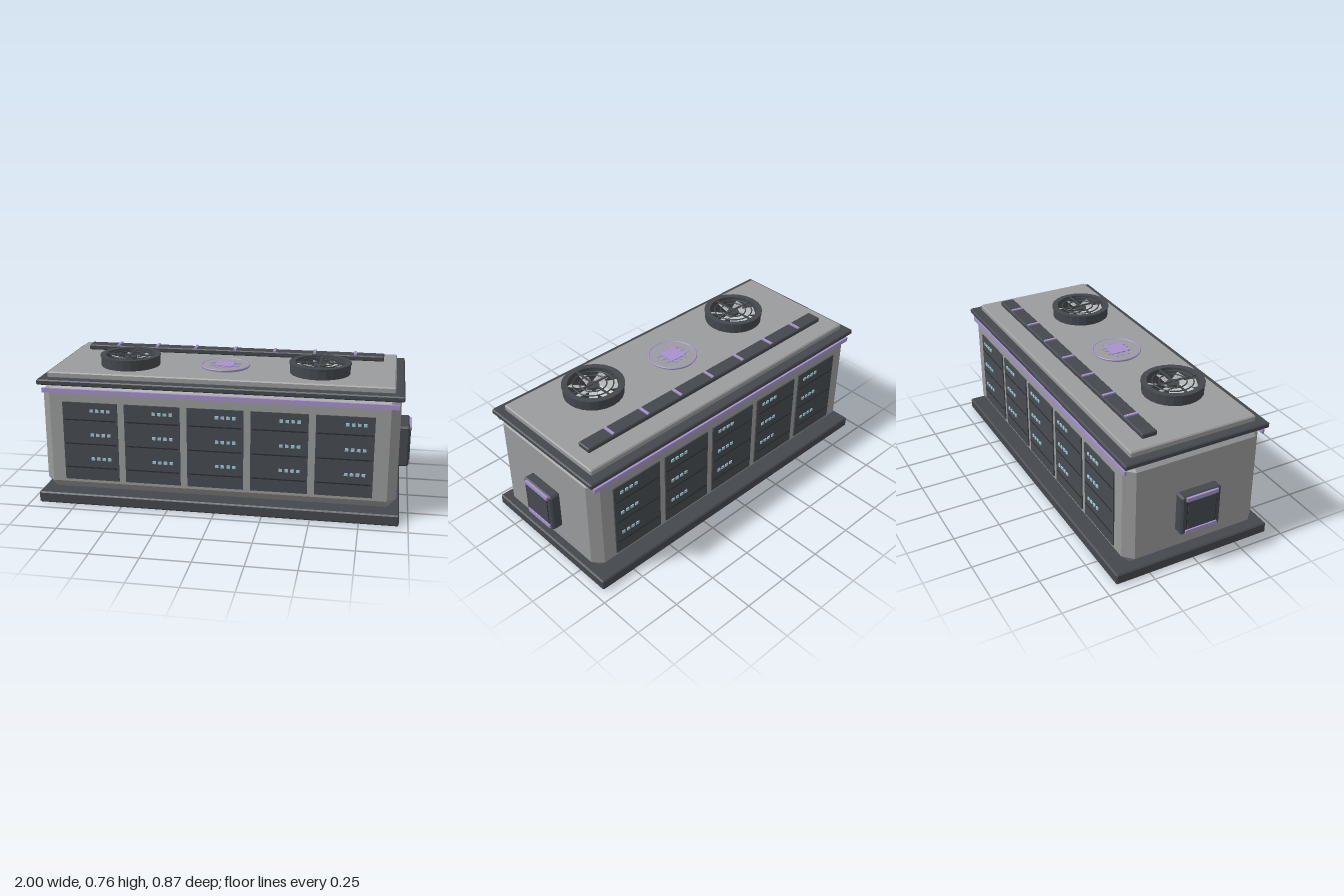
import * as THREE from 'three';
import { ConvexGeometry } from 'three/addons/geometries/ConvexGeometry.js';

const mat = (name, color) => {
  const m = new THREE.MeshStandardMaterial({ color });
  m.name = name;
  return m;
};

export function createModel() {
  const shell = mat('grey shell', 0x9a9b9c);
  const dark = mat('dark trim', 0x44484d);
  const door = mat('door panel', 0x474b50);
  const black = mat('black seam', 0x2a2c2f);
  const purple = mat('lavender accent', 0xa592cc);
  const cyan = mat('pale blue light', 0x9cc8d6);
  const steel = mat('blade steel', 0xb9bbbd);

  const model = new THREE.Group();
  model.name = 'equipmentContainer';

  const add = (parent, name, geo, material, x = 0, y = 0, z = 0) => {
    const m = new THREE.Mesh(geo, material);
    m.name = name;
    m.position.set(x, y, z);
    parent.add(m);
    return m;
  };
  // boxes given by their extents
  const box = (parent, name, material, x0, x1, y0, y1, z0, z1) =>
    add(parent, name, new THREE.BoxGeometry(x1 - x0, y1 - y0, z1 - z0), material,
      (x0 + x1) / 2, (y0 + y1) / 2, (z0 + z1) / 2);
  const bevelBox = (parent, name, material, x0, x1, y0, y1, z0, z1, c) => {
    const [a, b, d] = [(x1 - x0) / 2, (y1 - y0) / 2, (z1 - z0) / 2];
    const pts = [];
    for (const i of [-1, 1]) for (const j of [-1, 1]) for (const k of [-1, 1]) {
      pts.push(
        new THREE.Vector3(i * a, j * (b - c), k * (d - c)),
        new THREE.Vector3(i * (a - c), j * b, k * (d - c)),
        new THREE.Vector3(i * (a - c), j * (b - c), k * d));
    }
    return add(parent, name, new ConvexGeometry(pts), material,
      (x0 + x1) / 2, (y0 + y1) / 2, (z0 + z1) / 2);
  };

  // main shell, plinth and roof
  bevelBox(model, 'base', dark, -0.953, 0.953, 0, 0.06, -0.437, 0.437, 0.007);
  bevelBox(model, 'body', shell, -0.935, 0.935, 0.06, 0.655, -0.377, 0.377, 0.048);
  bevelBox(model, 'roofRim', dark, -0.95, 0.95, 0.644, 0.673, -0.397, 0.397, 0.006);
  bevelBox(model, 'roofPanel', shell, -0.905, 0.905, 0.67, 0.704, -0.345, 0.345, 0.006);

  // long sides: doors, seams, lights and accent strip, mirrored front to back
  for (const s of [1, -1]) {
    const side = new THREE.Group();
    side.name = s > 0 ? 'frontSide' : 'backSide';
    model.add(side);
    const zs = (a, b) => (s > 0 ? [a, b] : [-b, -a]);
    box(side, 'accentStrip', purple, -0.925, 0.925, 0.602, 0.626, ...zs(0.375, 0.387));
    for (let i = 0; i < 5; i++) {
      const x = -0.002 + (i - 2) * 0.333;
      box(side, 'door', door, x - 0.148, x + 0.148, 0.125, 0.555, ...zs(0.37, 0.384));
      for (let r = 0; r < 3; r++) {
        const seamY = 0.195 + r * 0.1325;
        box(side, 'doorSeam', black, x - 0.14, x + 0.14, seamY - 0.003, seamY + 0.003, ...zs(0.38, 0.3865));
        const y = 0.247 + r * 0.133;
        for (let k = 0; k < 4; k++) {
          const lx = x + 0.01 + k * 0.03;
          box(side, 'statusLight', cyan, lx - 0.009, lx + 0.009, y - 0.008, y + 0.008, ...zs(0.38, 0.389));
        }
      }
    }
  }

  // end hatches, mirrored left to right
  for (const s of [1, -1]) {
    const end = new THREE.Group();
    end.name = s > 0 ? 'leftHatch' : 'rightHatch';
    model.add(end);
    const xs = (a, b) => (s > 0 ? [a, b] : [-b, -a]);
    bevelBox(end, 'hatchFrame', dark, ...xs(0.93, 0.992), 0.205, 0.427, -0.111, 0.111, 0.01);
    box(end, 'hatchBorder', black, ...xs(0.985, 0.9935), 0.235, 0.399, -0.082, 0.082);
    box(end, 'hatchPanel', door, ...xs(0.985, 0.996), 0.239, 0.395, -0.078, 0.078);
    for (const y of [0.213, 0.401])
      box(end, 'hatchAccent', purple, ...xs(0.985, 1), y, y + 0.02, -0.088, 0.088);
  }

  // roof fans: open housing, tilted blades, hub and guard
  const housingProfile = [[0.132, 0.002], [0.158, 0.002], [0.158, 0.05], [0.163, 0.052],
    [0.163, 0.06], [0.132, 0.06], [0.132, 0.002]].map(p => new THREE.Vector2(...p));
  const housingGeo = new THREE.LatheGeometry(housingProfile, 24).toNonIndexed();
  housingGeo.computeVertexNormals();
  for (const x of [-0.51, 0.51]) {
    const fan = new THREE.Group();
    fan.name = x > 0 ? 'leftFan' : 'rightFan';
    fan.position.set(x, 0.703, 0.12);
    model.add(fan);
    add(fan, 'fanHousing', housingGeo, dark);
    add(fan, 'fanFloor', new THREE.CylinderGeometry(0.134, 0.134, 0.006, 24), black, 0, 0.004, 0);
    add(fan, 'fanHub', new THREE.CylinderGeometry(0.032, 0.032, 0.045, 16), dark, 0, 0.0255, 0);
    for (let i = 0; i < 7; i++) {
      const arm = new THREE.Group();
      arm.rotation.y = i * Math.PI * 2 / 7;
      fan.add(arm);
      const blade = add(arm, 'fanBlade', new THREE.BoxGeometry(0.1, 0.004, 0.05), steel, 0.078, 0.026, 0);
      blade.rotation.x = 0.45;
    }
    for (const a of [0, Math.PI / 2]) {
      const bar = add(fan, 'guardBar', new THREE.BoxGeometry(0.27, 0.006, 0.01), dark, 0, 0.055, 0);
      bar.rotation.y = a;
    }
    for (const r of [0.07, 0.105]) {
      const ring = add(fan, 'guardRing', new THREE.TorusGeometry(r, 0.0035, 6, 24), dark, 0, 0.055, 0);
      ring.rotation.x = Math.PI / 2;
    }
  }

  // round roof medallion with a plain finned plate
  const medallion = new THREE.Group();
  medallion.name = 'roofMedallion';
  medallion.position.set(0, 0.703, 0.078);
  model.add(medallion);
  add(medallion, 'medallionDisc', new THREE.CylinderGeometry(0.128, 0.128, 0.012, 32), shell, 0, 0.006, 0);
  const rim = add(medallion, 'medallionRim', new THREE.TorusGeometry(0.128, 0.005, 8, 40), purple, 0, 0.01, 0);
  rim.rotation.x = Math.PI / 2;
  box(medallion, 'medallionPlate', purple, -0.05, 0.05, 0.01, 0.017, -0.05, 0.05);
  for (const t of [-0.034, 0, 0.034]) {
    box(medallion, 'plateFin', purple, -0.08, 0.08, 0.01, 0.015, t - 0.006, t + 0.006);
    box(medallion, 'plateFin', purple, t - 0.006, t + 0.006, 0.01, 0.015, -0.07, 0.07);
  }

  // cable tray along the roof with accent clips
  bevelBox(model, 'cableTray', dark, -0.835, 0.835, 0.704, 0.732, -0.244, -0.164, 0.005);
  for (let i = -3; i <= 3; i++) {
    const x = 0.008 + i * 0.2235;
    box(model, 'trayClip', purple, x - 0.007, x + 0.007, 0.725, 0.739, -0.239, -0.169);
  }

  return model;
}
